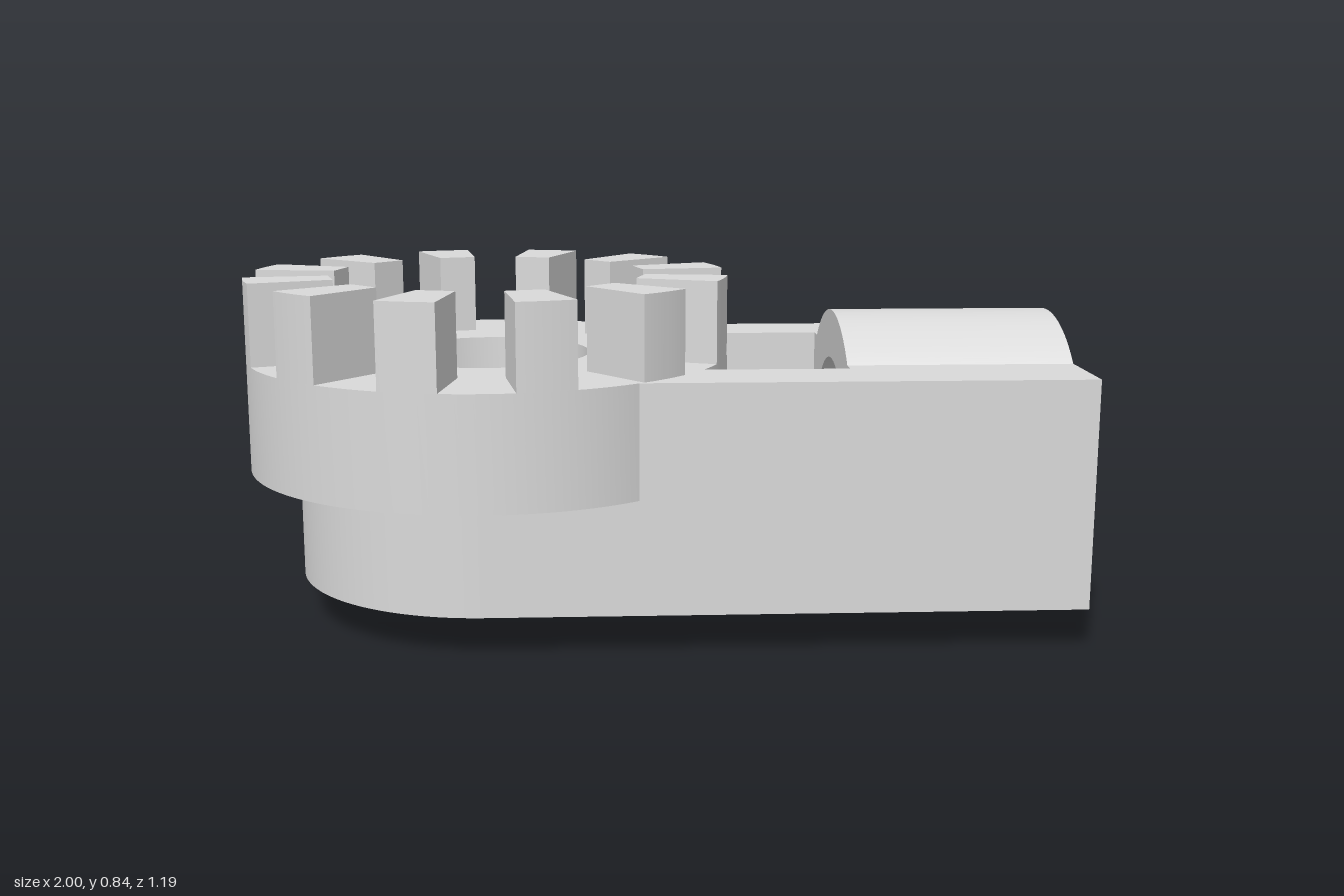
import * as THREE from 'three';
import { toCreasedNormals } from 'three/addons/utils/BufferGeometryUtils.js';

const CX = -0.406;             // axis of the toothed ring
const RING = 0.594, EYE = 0.475, HOLE = 0.25;
const HALF = 0.475, SLOT = 0.297; // half widths of the body and of its slot
const SLOT_END = 0.075;        // flat end of the slot under the ring
const JOIN = 0.455, END = 1;   // socket block from JOIN to END
const Y0 = 0.099, Y1 = 0.372, Y2 = 0.643, Y3 = 0.842;

function extrude(shape, depth) {
  const g = new THREE.ExtrudeGeometry(shape, { depth, bevelEnabled: false, curveSegments: 64 });
  return toCreasedNormals(g, Math.PI / 7);
}

// plan shape (x, -z) raised from y = a to y = b
function plan(shape, a, b) {
  return extrude(shape, b - a).rotateX(-Math.PI / 2).translate(0, a, 0);
}

function circleHole(x, y, r) {
  return new THREE.Path().absarc(x, y, r, 0, Math.PI * 2, true);
}

export function createModel() {
  const group = new THREE.Group();
  const grey = new THREE.MeshStandardMaterial({ color: 0xdadada });
  grey.name = 'grey';
  const add = (name, geometry, parent = group) => {
    const mesh = new THREE.Mesh(geometry, grey);
    mesh.name = name;
    parent.add(mesh);
    return mesh;
  };

  // lower body: rounded eye with two arms
  const lower = new THREE.Shape();
  lower.absarc(CX, 0, EYE, Math.PI / 2, Math.PI * 1.5, false);
  lower.lineTo(JOIN, -HALF);
  lower.lineTo(JOIN, -SLOT);
  lower.lineTo(SLOT_END, -SLOT);
  lower.lineTo(SLOT_END, SLOT);
  lower.lineTo(JOIN, SLOT);
  lower.lineTo(JOIN, HALF);
  lower.holes.push(circleHole(CX, 0, HOLE));
  add('lowerBody', plan(lower, Y0, Y1));

  // upper body: wide ring merged with the arms
  const a = Math.asin(HALF / RING), b = Math.asin(SLOT / RING);
  const upper = new THREE.Shape();
  upper.absarc(CX, 0, RING, a, Math.PI * 2 - a, false);
  upper.lineTo(JOIN, -HALF);
  upper.lineTo(JOIN, -SLOT);
  upper.absarc(CX, 0, RING, -b, b, false);
  upper.lineTo(JOIN, SLOT);
  upper.lineTo(JOIN, HALF);
  upper.holes.push(circleHole(CX, 0, HOLE));
  add('ringBody', plan(upper, Y1, Y2));

  // ring of twelve teeth
  const teeth = new THREE.Group();
  teeth.name = 'teeth';
  teeth.position.x = CX;
  group.add(teeth);
  const half = Math.asin(0.0695 / RING);
  const tooth = new THREE.Shape();
  tooth.absarc(0, 0, RING, -half, half, false);
  tooth.lineTo(0.388, 0.047);
  tooth.lineTo(0.388, -0.047);
  const toothGeometry = plan(tooth, Y2, Y3);
  for (let i = 0; i < 12; i++) {
    add('tooth', toothGeometry, teeth).rotation.y = (i + 0.5) * Math.PI / 6;
  }

  // socket block: cross-section with a bored barrel, swept along x
  const R = 0.371;
  const t = Math.asin((Y2 - R) / R);
  const socket = new THREE.Shape();
  socket.absarc(0, R, R, Math.PI + t, Math.PI * 2 - t, false);
  socket.lineTo(HALF, Y0);
  socket.lineTo(HALF, Y2);
  socket.absarc(0, R, R, t, Math.PI - t, false);
  socket.lineTo(-HALF, Y2);
  socket.lineTo(-HALF, Y0);
  socket.holes.push(circleHole(0, R, HOLE));
  add('socketBlock', extrude(socket, END - JOIN).rotateY(Math.PI / 2).translate(JOIN, 0, 0));

  return group;
}
